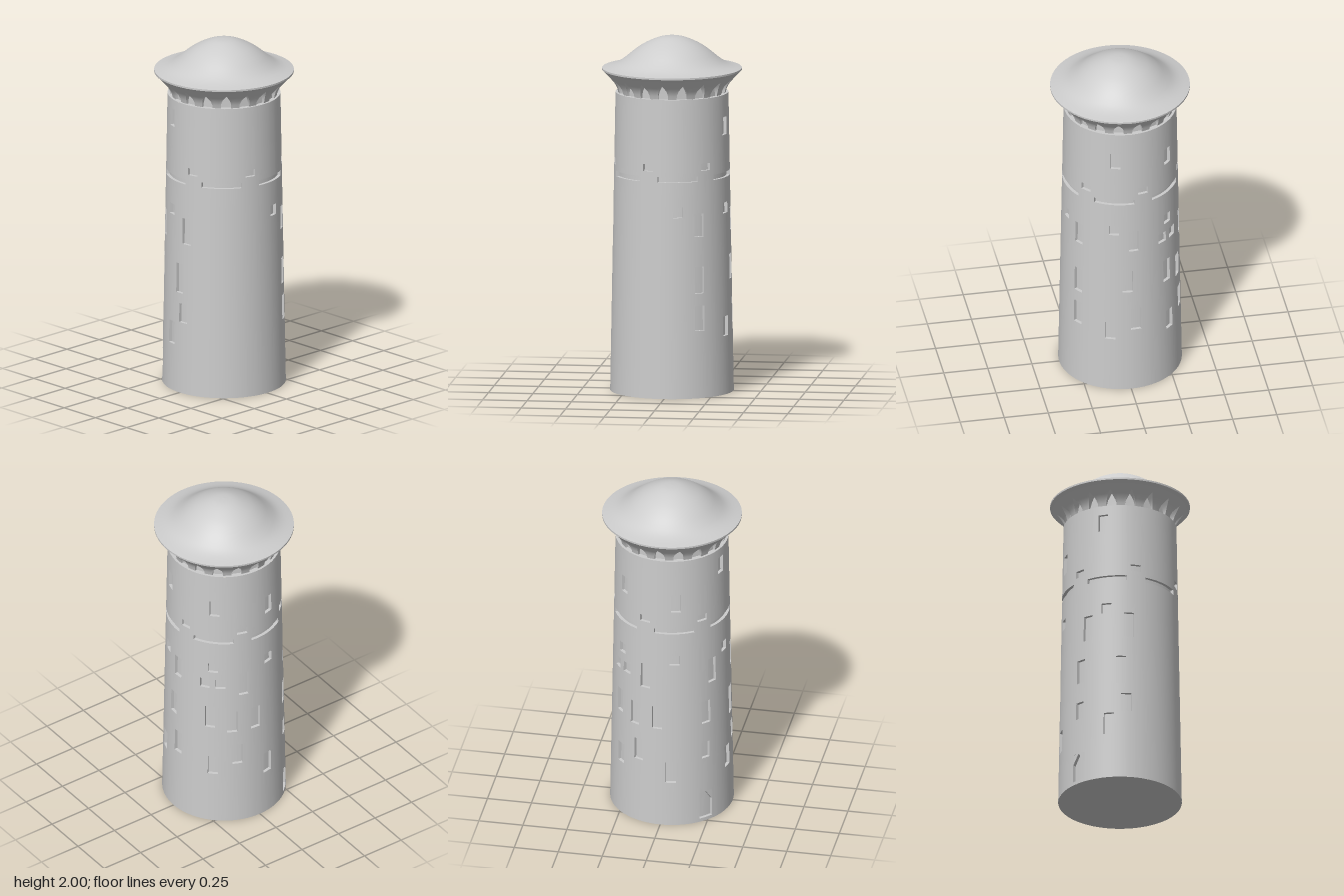
import * as THREE from 'three';
import { toCreasedNormals } from 'three/addons/utils/BufferGeometryUtils.js';

const DEPTH = 0.018, WALL_TOP = 1.685;
const wallRadius = (y) => 0.345 - 0.0178 * y;

// Point on a circle round the y axis: 0 degrees is the front, 90 is +x
function P(deg, y, r) {
  const a = THREE.MathUtils.degToRad(deg);
  return [r * Math.sin(a), y, r * Math.cos(a)];
}

// Collects faces and turns them into a geometry with sharp edges kept
class Faces {
  constructor() { this.p = []; }
  tri(a, b, c) { this.p.push(...a, ...b, ...c); }
  quad(a, b, c, d) { this.tri(a, b, c); this.tri(a, c, d); }
  geometry(crease) {
    const g = new THREE.BufferGeometry();
    g.setAttribute('position', new THREE.Float32BufferAttribute(this.p, 3));
    return toCreasedNormals(g, crease);
  }
}

// Openings: centre angle, width in degrees, bottom, top
const DOOR = { angle: -45.5, width: 14, y0: 0.02, eaves: 0.125, y1: 0.185 };
function openings() {
  const list = [
    // top windows
    [-20, 10, 1.53, 1.63], [285, 10, 1.36, 1.47], [225, 10, 1.41, 1.51], [165, 10, 1.46, 1.56],
    // tall windows, upper storey
    [-36, 10, 0.87, 1.02], [6, 10, 0.87, 1.02], [125, 10, 0.91, 1.04], [183, 10, 0.91, 1.04], [254, 10, 0.86, 1.01],
    // twin square windows
    [215.5, 10, 0.91, 0.97], [231, 10, 0.91, 0.97],
    // middle storey
    [-44, 10, 0.62, 0.76], [-2, 10, 0.58, 0.75], [125, 10, 0.59, 0.74], [177, 10, 0.64, 0.78],
    [221, 10, 0.64, 0.78], [242.5, 10, 0.61, 0.75], [266.5, 10, 0.61, 0.75],
    // lower storey
    [-45, 9, 0.40, 0.50], [3, 10, 0.41, 0.52], [-13.5, 10, 0.27, 0.40], [125, 10, 0.38, 0.52],
    [160, 10, 0.33, 0.44], [185, 10, 0.39, 0.53], [224, 10, 0.32, 0.44], [247.5, 10, 0.39, 0.52], [280, 10, 0.27, 0.40],
    [DOOR.angle, DOOR.width, DOOR.y0, DOOR.y1],
  ];
  // band of long slots with small windows above
  for (let i = 0; i < 6; i++) {
    list.push([43.5 + 60 * i, 41, 1.22, 1.25]);
    list.push([13 + 60 * i, 11, 1.28, 1.32]);
  }
  // small square windows
  for (const a of [-16.5, 103.5, 163.5, 223.5, 283.5]) list.push([a, 10, 1.02, 1.08]);
  return list;
}

// Tapered wall as a grid whose lines follow every opening; cells inside one are set back
function wallGeometry() {
  const holes = openings();
  const half = (v) => Math.round(v * 2) / 2;
  const angles = new Set(), heights = new Set([0, WALL_TOP]);
  for (let a = 0; a <= 360; a += 4) angles.add(a);
  for (const [a, w, y0, y1] of holes) {
    angles.add((half(a - w / 2) + 360) % 360);
    angles.add((half(a + w / 2) + 360) % 360);
    heights.add(y0);
    heights.add(y1);
  }
  const T = [...angles].sort((a, b) => a - b), Y = [...heights].sort((a, b) => a - b);
  const n = T.length - 1, m = Y.length - 1;
  const inset = (i, j) => {
    const t = (T[i] + T[i + 1]) / 2, y = (Y[j] + Y[j + 1]) / 2;
    return holes.some(([a, w, y0, y1]) => y > y0 && y < y1 &&
      Math.abs(((t - a + 540) % 360) - 180) < w / 2) ? DEPTH : 0;
  };
  const f = new Faces();
  for (let i = 0; i < n; i++) for (let j = 0; j < m; j++) {
    const t0 = T[i], t1 = T[i + 1], y0 = Y[j], y1 = Y[j + 1];
    const r0 = wallRadius(y0), r1 = wallRadius(y1), d = inset(i, j);
    f.quad(P(t0, y0, r0 - d), P(t1, y0, r0 - d), P(t1, y1, r1 - d), P(t0, y1, r1 - d));
    // jambs
    const e = inset((i + 1) % n, j);
    if (e !== d) f.quad(P(t1, y0, r0 - d), P(t1, y0, r0 - e), P(t1, y1, r1 - e), P(t1, y1, r1 - d));
    // sills and heads
    const u = j + 1 < m ? inset(i, j + 1) : 0;
    if (u !== d) f.quad(P(t0, y1, r1 - d), P(t1, y1, r1 - d), P(t1, y1, r1 - u), P(t0, y1, r1 - u));
  }
  return f.geometry(0.6);
}

// Two corner pieces that give the doorway its pointed head
function doorHeadGeometry() {
  const f = new Faces();
  const at = (t, y, d) => P(t, y, wallRadius(y) - d);
  for (const s of [-1, 1]) {
    const edge = DOOR.angle + s * DOOR.width / 2, mid = DOOR.angle;
    const A = at(edge, DOOR.eaves, 0), B = at(edge, DOOR.y1, 0), C = at(mid, DOOR.y1, 0);
    const Ai = at(edge, DOOR.eaves, DEPTH), Ci = at(mid, DOOR.y1, DEPTH);
    if (s < 0) { f.tri(A, C, B); f.quad(Ai, Ci, C, A); }
    else { f.tri(A, B, C); f.quad(A, C, Ci, Ai); }
  }
  return f.geometry(0.3);
}

// Flared crown with a ring of pointed niches
function crownGeometry() {
  const count = 18, step = 360 / count, inner = 0.288;
  // height, outer radius, half width of niche in degrees
  const rows = [
    [1.68, 0.3, 5.5], [1.705, 0.306, 5.5], [1.73, 0.317, 4.2],
    [1.75, 0.333, 2.2], [1.77, 0.351, 0], [1.79, 0.37, 0], [1.81, 0.39, 0],
  ];
  const f = new Faces();
  for (let k = 0; k < count; k++) {
    const c = k * step + 8;
    const section = ([y, r, w]) => {
      const ri = y > 1.771 ? r : inner, h = step / 2;
      return [P(c - h, y, r), P(c - (h + w) / 2, y, r), P(c - w, y, r), P(c - w, y, ri),
        P(c + w, y, ri), P(c + w, y, r), P(c + (h + w) / 2, y, r), P(c + h, y, r)];
    };
    for (let j = 0; j < rows.length - 1; j++) {
      const lo = section(rows[j]), hi = section(rows[j + 1]);
      const niche = rows[j][2] > 0;
      for (let i = 0; i < 7; i++) {
        if (!niche && i >= 2 && i <= 4) continue; // plain flare above the niches
        f.quad(lo[i], lo[i + 1], hi[i + 1], hi[i]);
      }
    }
  }
  return f.geometry(0.5);
}

export function createModel() {
  const group = new THREE.Group();
  const stone = new THREE.MeshStandardMaterial({ color: 0xcccccc });
  stone.name = 'pale grey stone';
  const add = (name, geometry) => {
    const mesh = new THREE.Mesh(geometry, stone);
    mesh.name = name;
    group.add(mesh);
    return mesh;
  };

  add('towerWall', wallGeometry());
  add('doorHead', doorHeadGeometry());
  add('crown', crownGeometry());

  // underside and the ledge below the crown
  add('base', new THREE.CircleGeometry(wallRadius(0), 90)).rotation.x = Math.PI / 2;
  const ledge = add('ledge', new THREE.RingGeometry(0.27, wallRadius(WALL_TOP), 90));
  ledge.rotation.x = -Math.PI / 2;
  ledge.position.y = WALL_TOP;

  // bell-shaped roof with a thin rim
  const curve = new THREE.SplineCurve([
    [0.39, 1.82], [0.34, 1.832], [0.3, 1.849], [0.26, 1.877], [0.21, 1.918],
    [0.16, 1.952], [0.1, 1.981], [0.05, 1.996], [0, 2],
  ].map(([x, y]) => new THREE.Vector2(x, y)));
  const profile = curve.getPoints(32);
  profile[32].x = 0;
  add('roof', new THREE.LatheGeometry(profile, 90));
  add('roofRim', new THREE.CylinderGeometry(0.39, 0.39, 0.01, 90, 1, true)).position.y = 1.815;
  return group;
}
